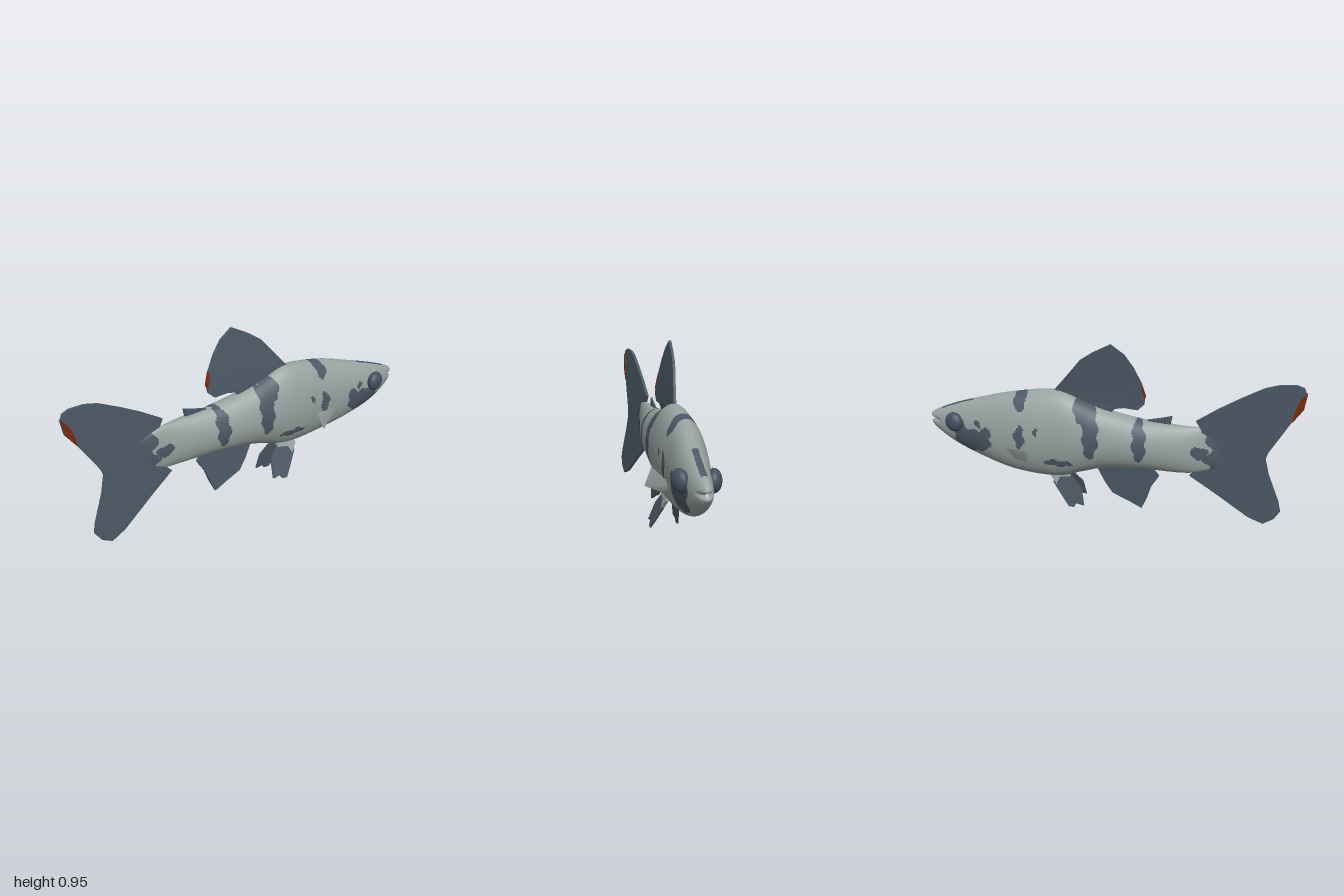
import * as THREE from 'three';

const mat = (name, color, side = THREE.FrontSide) => {
  const m = new THREE.MeshStandardMaterial({ color, side });
  m.name = name;
  return m;
};

// Body stations, nose to tail: x, top, bottom, centre z, half width
const STATIONS = [
  [-0.62, 0.50, 0.34, -0.165, 0.006],
  [-0.5, 0.54, 0.295, -0.155, 0.03],
  [-0.4, 0.548, 0.285, -0.148, 0.058],
  [-0.2, 0.56, 0.285, -0.11, 0.09],
  [0, 0.595, 0.265, -0.068, 0.104],
  [0.12, 0.635, 0.23, -0.048, 0.11],
  [0.27, 0.68, 0.185, -0.02, 0.113],
  [0.5, 0.648, 0.198, 0.02, 0.108],
  [0.7, 0.59, 0.248, 0.075, 0.092],
  [0.85, 0.54, 0.305, 0.113, 0.066],
  [0.95, 0.498, 0.368, 0.132, 0.04],
  [0.99, 0.475, 0.408, 0.138, 0.022],
  [1.0, 0.455, 0.43, 0.139, 0.006],
];

// Dark markings seen from the side: x, y, radius x, radius y
const PATCHES = [
  [-0.49, 0.41, 0.045, 0.035],
  [-0.18, 0.46, 0.036, 0.115],
  [0.075, 0.48, 0.042, 0.14],
  [0.12, 0.62, 0.045, 0.09],
  [0.455, 0.625, 0.036, 0.055],
  [0.46, 0.43, 0.028, 0.07],
  [0.365, 0.47, 0.013, 0.022],
  [0.25, 0.295, 0.08, 0.02],
  [0.74, 0.36, 0.11, 0.07],
  [0.66, 0.41, 0.04, 0.04],
  [0.82, 0.42, 0.05, 0.05],
  [0.70, 0.465, 0.02, 0.02],
];

function isDark(x, y, dz) {
  const wx = x + 0.006 * Math.sin(y * 75 + x * 20);
  const wy = y + 0.006 * Math.sin(x * 85);
  if (wx < -0.535 + 0.02 * Math.sin(y * 55)) return true;
  if (x > 0.74 && x < 0.93 && y > 0.48 && Math.abs(dz) < 0.016) return true; // crown line
  return PATCHES.some(([px, py, rx, ry]) =>
    ((wx - px) / rx) ** 2 + ((wy - py) / ry) ** 2 < 1);
}

// Lofted body, faces sorted into pale and dark groups
function bodyGeometry() {
  const N = 260, M = 96;
  const curves = [1, 2, 3, 4].map(k =>
    new THREE.SplineCurve(STATIONS.map(s => new THREE.Vector2(s[0], s[k]))));
  const pos = [], offset = [];
  for (let i = 0; i <= N; i++) {
    const p = curves.map(c => c.getPoint(i / N));
    const [top, bot, cz, w] = p.map(q => q.y);
    for (let j = 0; j < M; j++) {
      const a = (j / M) * Math.PI * 2;
      const y = (top + bot) / 2 + ((top - bot) / 2) * Math.sin(a);
      const dz = w * Math.cos(a);
      // mouth notch between the lips
      const notch = Math.max(0, (p[0].x - 0.93) / 0.07) * Math.exp(-(((y - 0.44) / 0.01) ** 2));
      pos.push(p[0].x - 0.025 * notch, y, cz + dz * (1 - 0.3 * notch));
      offset.push(dz);
    }
  }
  const lists = [[], []];
  const add = (...t) => {
    const mean = f => (f(t[0]) + f(t[1]) + f(t[2])) / 3;
    const dark = isDark(mean(i => pos[i * 3]), mean(i => pos[i * 3 + 1]), mean(i => offset[i]));
    lists[dark ? 1 : 0].push(...t);
  };
  for (let i = 0; i < N; i++) for (let j = 0; j < M; j++) {
    const k = (j + 1) % M, a = i * M + j, b = a + M, c = i * M + k, d = c + M;
    add(a, b, c);
    add(b, d, c);
  }
  // end caps
  for (let j = 1; j < M - 1; j++) {
    add(0, j, j + 1);
    add(N * M, N * M + j, N * M + j + 1);
  }
  const g = new THREE.BufferGeometry();
  g.setAttribute('position', new THREE.Float32BufferAttribute(pos, 3));
  g.setIndex([...lists[0], ...lists[1]]);
  g.addGroup(0, lists[0].length, 0);
  g.addGroup(lists[0].length, lists[1].length, 1);
  g.computeVertexNormals();
  return g;
}

// Thin fin from a side outline, bent by z = bend(x, y)
function fin(name, points, material, depth, bend) {
  const shape = new THREE.Shape(points.map(p => new THREE.Vector2(...p)));
  const g = new THREE.ExtrudeGeometry(shape, { depth, bevelEnabled: false });
  const p = g.attributes.position;
  for (let i = 0; i < p.count; i++)
    p.setZ(i, p.getZ(i) - depth / 2 + bend(p.getX(i), p.getY(i)));
  g.computeVertexNormals();
  const m = new THREE.Mesh(g, material);
  m.name = name;
  return m;
}

export function createModel() {
  const pale = mat('paleSkin', 0x98a3a0);
  const dark = mat('darkMarking', 0x4d5966);
  const finDark = mat('finGrey', 0x4d5966, THREE.DoubleSide);
  const finPale = mat('paleFin', 0x98a3a0, THREE.DoubleSide);
  const eyeMat = mat('eyeGrey', 0x445060);
  const rust = mat('rust', 0x7a2c0c, THREE.DoubleSide);
  const fish = new THREE.Group();
  fish.name = 'fish';

  const body = new THREE.Mesh(bodyGeometry(), [pale, dark]);
  body.name = 'body';
  fish.add(body);

  const spine = x => -0.072 + 0.2 * x;

  // Tail fin with a rust edge on the upper lobe
  const tailBend = (x, y) => -0.155 + (x + 0.5) * 0.08 + (0.395 - y) * 0.07;
  fish.add(fin('tailFin', [
    [-0.5, 0.53], [-0.47, 0.58], [-0.58, 0.655], [-0.68, 0.715], [-0.8, 0.78], [-0.87, 0.8],
    [-0.95, 0.803], [-0.985, 0.79], [-1, 0.755], [-0.99, 0.68], [-0.94, 0.61],
    [-0.885, 0.51], [-0.84, 0.43], [-0.83, 0.395], [-0.855, 0.3], [-0.915, 0.15],
    [-0.93, 0.09], [-0.9, 0.04], [-0.845, 0.005], [-0.765, 0.04], [-0.58, 0.175],
    [-0.45, 0.265], [-0.5, 0.32],
  ], finDark, 0.016, tailBend));
  fish.add(fin('tailEdge', [
    [-1, 0.765], [-0.99, 0.68], [-0.94, 0.605], [-0.945, 0.65], [-0.965, 0.72],
  ], rust, 0.022, tailBend));

  // Back fins
  const backBend = (x, y) => spine(x) - Math.max(0, y - 0.65) * 0.14;
  fish.add(fin('dorsalFin', [
    [0.28, 0.67], [0.2, 0.77], [0.13, 0.86], [0.06, 0.91], [-0.03, 0.96], [-0.1, 0.91],
    [-0.15, 0.84], [-0.19, 0.76], [-0.21, 0.69], [-0.205, 0.645], [-0.17, 0.61],
    [-0.1, 0.615], [-0.05, 0.605], [-0.02, 0.57], [0.15, 0.58],
  ], finDark, 0.014, backBend));
  fish.add(fin('dorsalEdge', [
    [-0.19, 0.76], [-0.212, 0.69], [-0.206, 0.67], [-0.197, 0.7],
  ], rust, 0.018, backBend));
  fish.add(fin('smallBackFin', [
    [-0.35, 0.595], [-0.3, 0.58], [-0.22, 0.56], [-0.25, 0.53], [-0.34, 0.53],
  ], finDark, 0.012, spine));

  // Anal fin
  fish.add(fin('analFin', [
    [-0.29, 0.25], [-0.25, 0.18], [-0.23, 0.11], [-0.2, 0.035], [-0.13, 0.07],
    [-0.04, 0.11], [0.0, 0.17], [0.04, 0.25], [-0.02, 0.32], [-0.2, 0.32], [-0.27, 0.275],
  ], finDark, 0.014, (x, y) => spine(x) + (0.28 - y) * 0.1));

  // Pelvic fins with pale roots
  for (const [side, root, flare] of [['left', 0.04, 0.4], ['right', -0.015, -0.14]]) {
    const bend = (x, y) => spine(x) + root + (0.2 - y) * flare;
    fish.add(fin(side + 'PelvicFin', [
      [0.27, 0.18], [0.19, 0.2], [0.13, 0.13], [0.115, 0.035], [0.16, 0.042],
      [0.17, 0.02], [0.2, 0.018], [0.25, 0.09], [0.29, 0.15],
    ], finDark, 0.01, bend));
    fish.add(fin(side + 'PelvicRoot', [
      [0.19, 0.23], [0.19, 0.195], [0.25, 0.185], [0.27, 0.14], [0.305, 0.19], [0.3, 0.23],
    ], finPale, 0.02, bend));
  }

  // Pectoral fins, folded sheets sticking out of the flanks
  for (const [name, pts] of [
    ['leftPectoralFin', [0.57, 0.36, 0.12, 0.37, 0.40, 0.145, 0.38, 0.31, 0.185, 0.48, 0.295, 0.125]],
    ['rightPectoralFin', [0.55, 0.35, -0.06, 0.40, 0.38, -0.175, 0.41, 0.31, -0.15, 0.49, 0.295, -0.07]],
  ]) {
    const g = new THREE.BufferGeometry();
    g.setAttribute('position', new THREE.Float32BufferAttribute(pts, 3));
    g.setIndex([0, 1, 2, 0, 2, 3]);
    g.computeVertexNormals();
    const m = new THREE.Mesh(g, finPale);
    m.name = name;
    fish.add(m);
  }

  // Eyes
  for (const [name, x, y, z, yaw] of [
    ['leftEye', 0.81, 0.46, 0.188, 0.1],
    ['rightEye', 0.845, 0.453, 0.04, -0.45],
  ]) {
    const eye = new THREE.Mesh(new THREE.SphereGeometry(0.055, 28, 20), eyeMat);
    eye.scale.z = 0.65;
    eye.position.set(x, y, z);
    eye.rotation.y = yaw;
    eye.name = name;
    fish.add(eye);
  }
  return fish;
}
